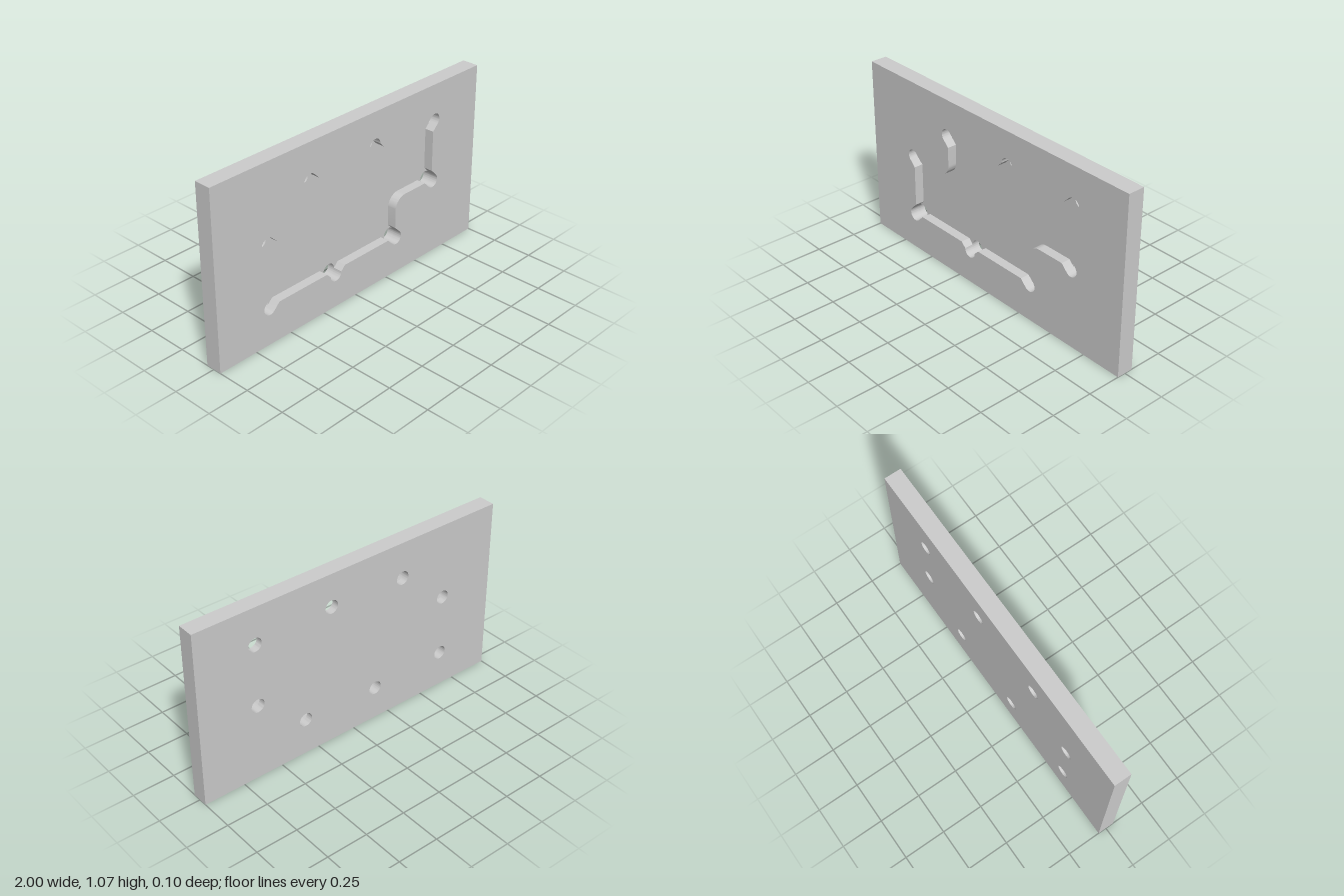
import * as THREE from 'three';
import { toCreasedNormals } from 'three/addons/utils/BufferGeometryUtils.js';

const W = 2, H = 1.07, T = 0.1;      // plate
const DEPTH = 0.056;                 // pocket depth from the front
const CX = -0.003, CY = 0.537;       // centre of the pocket's half-turn symmetry
const R = 0.041, FILLET = 0.077;     // relief hole and fillet radius
const LEFT = -0.632, STEP_X = -0.327, STEP_Y = 0.058, TOP = 0.304;
const OFF = 0.009;                   // hole centre offset outside each corner
const K = R * Math.SQRT1_2;

// Relief holes of one half, relative to the pocket centre
const cornerHoles = [
  { x: LEFT, y: -TOP, u: [1, 0], v: [0, 1], start: -45 },
  { x: LEFT, y: STEP_Y, u: [0, -1], v: [1, 0], start: 225 },
  { x: STEP_X, y: TOP, u: [0, -1], v: [1, 0], start: 225 },
];
const middle = { x: 0.152, y: 0.333 };
const holeCentre = (c) => [c.x - OFF * (c.u[0] + c.v[0]), c.y - OFF * (c.u[1] + c.v[1])];

function arc(cx, cy, r, from, to, n = 24) {
  return Array.from({ length: n + 1 }, (_, i) => {
    const a = THREE.MathUtils.degToRad(from + ((to - from) * i) / n);
    return [cx + r * Math.cos(a), cy + r * Math.sin(a)];
  });
}

// Corner: 45 degree channel running out into a round relief
function corner(c) {
  const [hx, hy] = holeCentre(c);
  return [
    [c.x + 2 * K * c.u[0], c.y + 2 * K * c.u[1]],
    ...arc(hx, hy, R, c.start, c.start - 180),
    [c.x + 2 * K * c.v[0], c.y + 2 * K * c.v[1]],
  ];
}

// Half of an outline followed by the same half turned by 180 degrees
function withHalfTurn(points) {
  return [1, -1].flatMap((s) => points.map(([x, y]) => new THREE.Vector2(CX + s * x, CY + s * y)));
}

function plateShape() {
  return new THREE.Shape([
    new THREE.Vector2(-W / 2, 0), new THREE.Vector2(W / 2, 0),
    new THREE.Vector2(W / 2, H), new THREE.Vector2(-W / 2, H),
  ]);
}

function slab(name, shape, depth, z, material) {
  const geometry = new THREE.ExtrudeGeometry(shape, { depth, bevelEnabled: false });
  geometry.translate(0, 0, z);
  const mesh = new THREE.Mesh(toCreasedNormals(geometry, 0.5), material);
  mesh.name = name;
  return mesh;
}

export function createModel() {
  const group = new THREE.Group();
  group.name = 'pocketedPlate';
  const material = new THREE.MeshStandardMaterial({ color: 0xcccccc });

  // Front layer, cut through by the stepped pocket
  const flare = middle.y - TOP;
  const half = [
    ...corner(cornerHoles[0]),
    ...corner(cornerHoles[1]),
    ...arc(STEP_X - FILLET, STEP_Y + FILLET, FILLET, -90, 0, 16),
    ...corner(cornerHoles[2]),
    [middle.x - R - flare, TOP],
    ...arc(middle.x, middle.y, R, 180, 0),
    [middle.x + R + flare, TOP],
  ];
  const frontShape = plateShape();
  frontShape.holes.push(new THREE.Path(withHalfTurn(half)));
  group.add(slab('pocketLayer', frontShape, DEPTH, T / 2 - DEPTH, material));

  // Back layer: the pocket floor, with eight through holes
  const backShape = plateShape();
  const centres = [...cornerHoles.map(holeCentre), [middle.x, middle.y]];
  for (const c of withHalfTurn(centres)) {
    const ring = arc(c.x, c.y, R, 360, 0, 48).slice(0, -1);
    backShape.holes.push(new THREE.Path(ring.map(([x, y]) => new THREE.Vector2(x, y))));
  }
  group.add(slab('floorLayer', backShape, T - DEPTH, -T / 2, material));

  return group;
}
